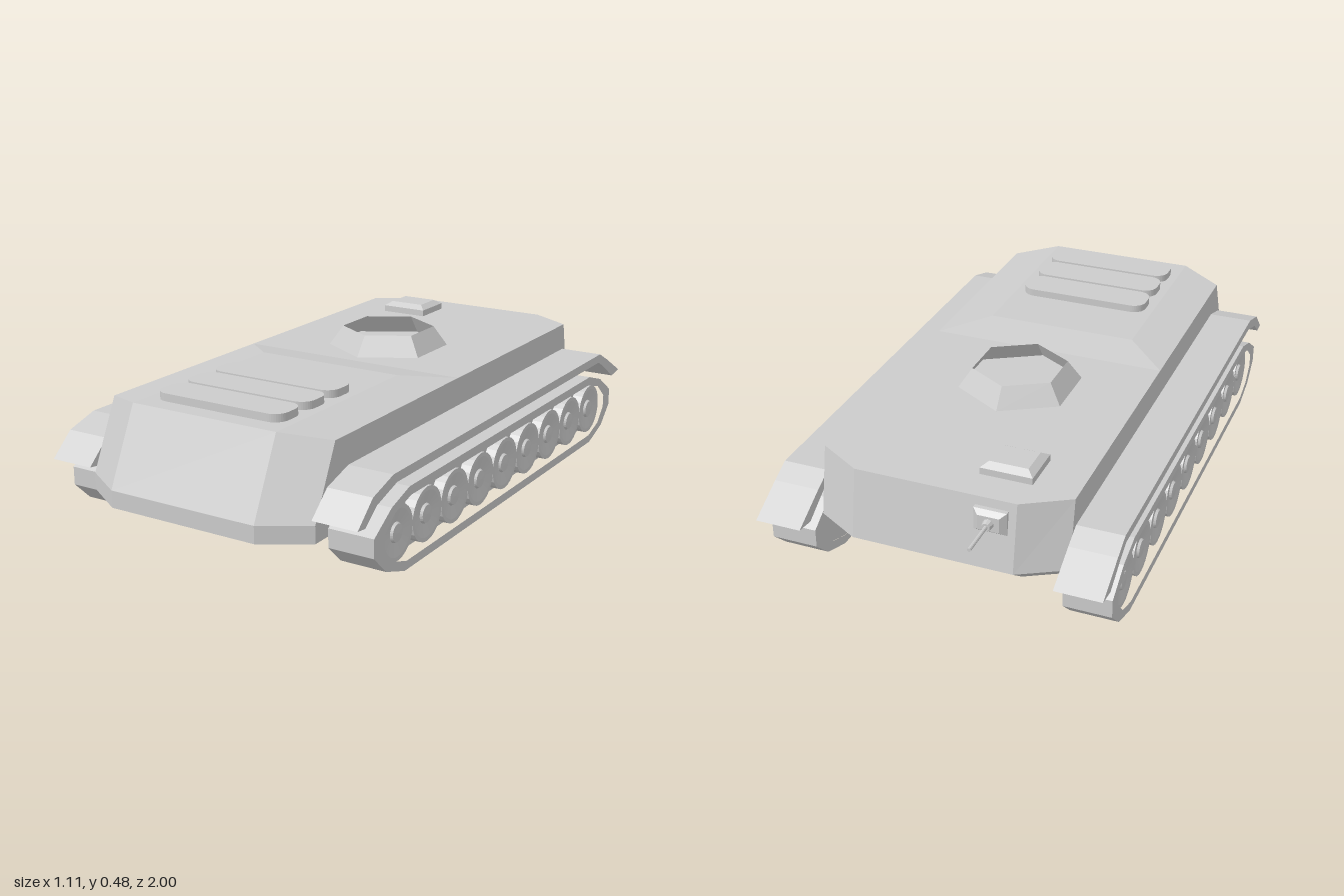
import * as THREE from 'three';

const grey = new THREE.MeshStandardMaterial({ color: 0xcccccc, flatShading: true });
const greyDouble = new THREE.MeshStandardMaterial({ color: 0xcccccc, flatShading: true, side: THREE.DoubleSide });

function part(parent, name, geometry, x = 0, y = 0, z = 0, material = grey) {
  const mesh = new THREE.Mesh(geometry, material);
  mesh.name = name;
  mesh.position.set(x, y, z);
  parent.add(mesh);
  return mesh;
}

// Extrudes a (z, y) outline across the width, centred on x = 0
function sideExtrude(outline, width, hole) {
  const toPoints = (list) => list.map(([z, y]) => new THREE.Vector2(z, y));
  const shape = new THREE.Shape(toPoints(outline));
  if (hole) shape.holes.push(new THREE.Path(toPoints(hole)));
  const g = new THREE.ExtrudeGeometry(shape, { depth: width, bevelEnabled: false });
  return g.translate(0, 0, -width / 2).rotateY(-Math.PI / 2);
}

// Box standing on y = 0 whose top is scaled inwards
function taperedBox(w, h, d, topX, topZ) {
  const g = new THREE.BoxGeometry(w, h, d).translate(0, h / 2, 0);
  const p = g.attributes.position;
  for (let i = 0; i < p.count; i++) {
    if (p.getY(i) > h / 2) p.setXYZ(i, p.getX(i) * topX, h, p.getZ(i) * topZ);
  }
  return g;
}

// Closed hull: octagonal rings for the sides, rows of points for the deck
function hullGeometry() {
  const a = 0.26, b = 0.405, pos = [];
  const quad = (p, q, r, s) => pos.push(...p, ...q, ...r, ...p, ...r, ...s);
  const ring = (yMid, ySide, front, frontSide, rearSide, rear, yRear) => [
    [-a, yMid, front], [a, yMid, front], [b, ySide, frontSide], [b, yRear, rearSide],
    [a, yRear, rear], [-a, yRear, rear], [-b, yRear, rearSide], [-b, ySide, frontSide],
  ];
  const rings = [
    ring(0.135, 0.135, 1, 0.91, -0.72, -0.8, 0.135),
    ring(0.19, 0.19, 1, 0.91, -0.79, -0.87, 0.19),
    ring(0.432, 0.41, 0.885, 0.805, -0.745, -0.83, 0.41),
  ];
  for (let j = 0; j < 2; j++) {
    for (let i = 0; i < 8; i++) {
      const k = (i + 1) % 8;
      quad(rings[j][i], rings[j][k], rings[j + 1][k], rings[j + 1][i]);
    }
  }
  for (let i = 1; i < 7; i++) pos.push(...rings[0][0], ...rings[0][i + 1], ...rings[0][i]);
  // Deck: low rear, ramp, raised front with sloping shoulders
  const row = (zSide, zMid, yMid) => [[-b, 0.41, zSide], [-a, yMid, zMid], [a, yMid, zMid], [b, 0.41, zSide]];
  const rows = [row(-0.745, -0.83, 0.41), row(0.08, 0.08, 0.41), row(0.08, 0.22, 0.432), row(0.805, 0.885, 0.432)];
  for (let j = 0; j < 3; j++) {
    for (let i = 0; i < 3; i++) quad(rows[j + 1][i], rows[j + 1][i + 1], rows[j][i + 1], rows[j][i]);
  }
  const g = new THREE.BufferGeometry();
  g.setAttribute('position', new THREE.Float32BufferAttribute(pos, 3));
  g.computeVertexNormals();
  return g;
}

// Flat panel with rounded corners, lying in the xz plane
function panelGeometry(w, d, h, r) {
  const s = new THREE.Shape();
  const x = w / 2, y = d / 2;
  s.moveTo(-x + r, -y);
  s.lineTo(x - r, -y);
  s.absarc(x - r, -y + r, r, -Math.PI / 2, 0);
  s.absarc(x - r, y - r, r, 0, Math.PI / 2);
  s.absarc(-x + r, y - r, r, Math.PI / 2, Math.PI);
  s.absarc(-x + r, -y + r, r, Math.PI, Math.PI * 1.5);
  return new THREE.ExtrudeGeometry(s, { depth: h, bevelEnabled: false, curveSegments: 5 }).rotateX(-Math.PI / 2);
}

// Mirrors a front half outline (top to bottom) to the rear
const mirrored = (half) => [...half, ...half.map(([z, y]) => [-z, y]).reverse()];

function runningGear(side) {
  const gear = new THREE.Group();
  gear.name = side > 0 ? 'leftRunningGear' : 'rightRunningGear';
  const x = side * 0.481;

  // Track belt and the recessed plate inside it
  const outer = mirrored([[0.65, 0.254], [0.75, 0.222], [0.845, 0.16], [0.845, 0.1], [0.78, 0.037], [0.675, 0]]);
  const inner = mirrored([[0.64, 0.225], [0.73, 0.2], [0.79, 0.15], [0.79, 0.105], [0.745, 0.055], [0.665, 0.028]]);
  part(gear, 'track', sideExtrude(outer, 0.152, inner), x);
  part(gear, 'innerPlate', sideExtrude(inner, 0.1), side * 0.456);

  // Dished road wheels with raised hubs
  const profile = [[0.087, 0], [0.087, 0.036], [0.074, 0.036], [0.032, 0.028], [0.028, 0.036], [0, 0.038]]
    .map(([r, y]) => new THREE.Vector2(r, y));
  const wheel = new THREE.LatheGeometry(profile, 24).rotateZ(-side * Math.PI / 2);
  for (let i = -4; i <= 4; i++) part(gear, 'roadWheel', wheel, side * 0.506, 0.121, i * 0.1725);

  // Mudguard plate bent down at both ends
  part(gear, 'fender', sideExtrude([
    [0.93, 0.212], [0.85, 0.285], [0.74, 0.318], [-0.74, 0.318], [-0.805, 0.285], [-0.93, 0.215],
    [-0.865, 0.207], [-0.78, 0.262], [-0.73, 0.289], [0.72, 0.289], [0.83, 0.255], [0.89, 0.207],
  ], 0.15), x);
  return gear;
}

export function createModel() {
  const model = new THREE.Group();
  model.name = 'trackedVehicle';
  part(model, 'hull', hullGeometry());
  for (const side of [1, -1]) model.add(runningGear(side));

  // Three raised covers on the front deck
  const cover = panelGeometry(0.46, 0.124, 0.027, 0.045);
  for (let i = 0; i < 3; i++) part(model, 'deckCover', cover, 0, 0.43, 0.488 + i * 0.137);

  // Open six-sided collar
  part(model, 'collar', new THREE.CylinderGeometry(0.157, 0.205, 0.067, 6, 1, true), 0, 0.4425, -0.162, greyDouble);

  // Rear hatch
  const hatch = new THREE.Group();
  hatch.name = 'hatch';
  part(hatch, 'hatchBase', taperedBox(0.168, 0.024, 0.143, 1, 1));
  part(hatch, 'hatchLid', taperedBox(0.168, 0.015, 0.143, 0.74, 0.68), 0, 0.024);
  hatch.position.set(-0.18, 0.408, -0.65);
  model.add(hatch);

  // Rear gun pointing to -z
  const gun = new THREE.Group();
  gun.name = 'rearGun';
  part(gun, 'gunBase', taperedBox(0.105, 0.014, 0.075, 1, 1));
  part(gun, 'gunMount', taperedBox(0.105, 0.016, 0.075, 0.65, 0.65), 0, 0.014);
  part(gun, 'gunCollar', new THREE.CylinderGeometry(0.013, 0.018, 0.02, 10), 0, 0.038);
  part(gun, 'gunBarrel', new THREE.CylinderGeometry(0.006, 0.006, 0.16, 10), 0, 0.085);
  gun.rotation.x = -Math.PI / 2;
  gun.position.set(-0.183, 0.345, -0.835);
  model.add(gun);
  return model;
}
